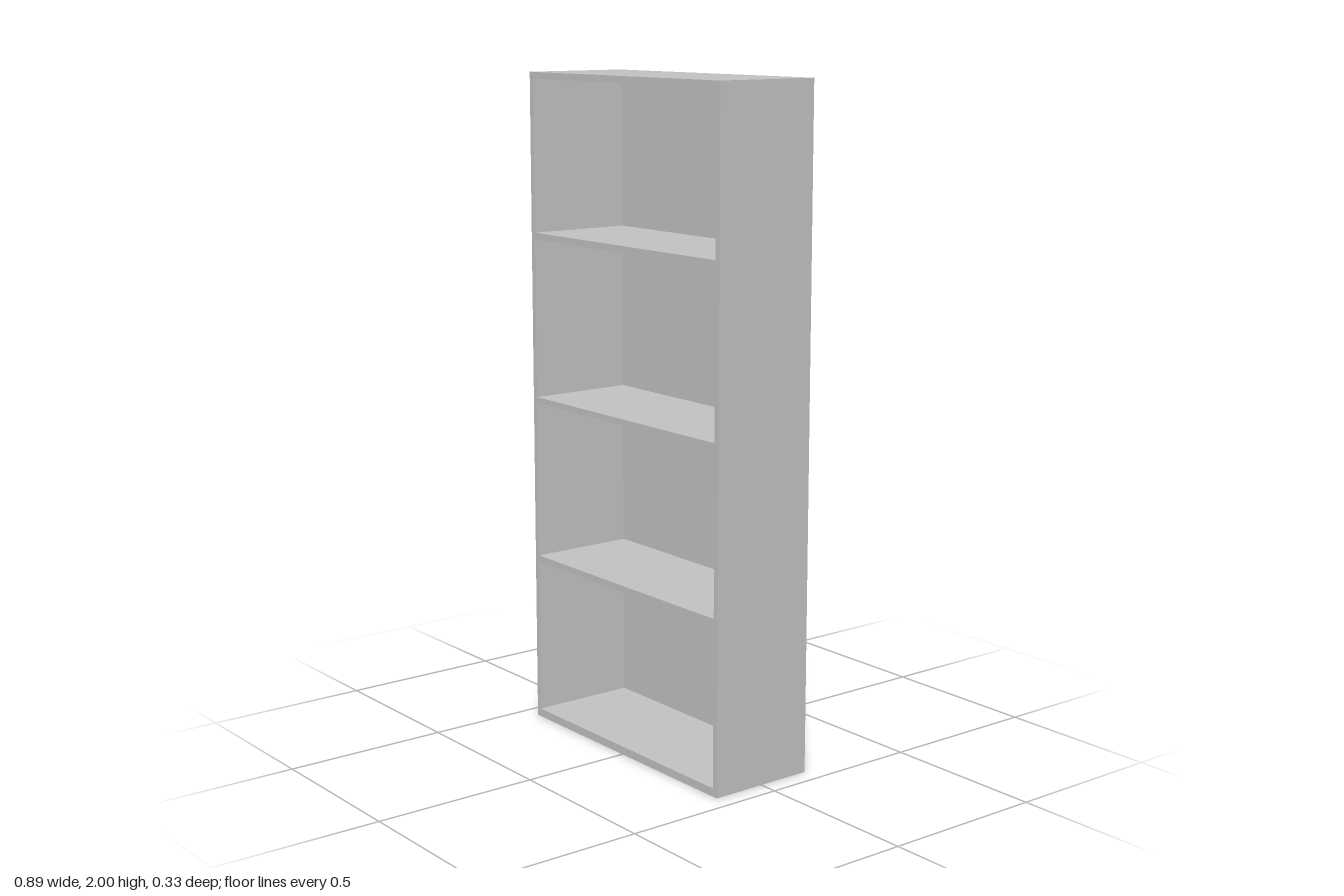
import * as THREE from 'three';

const W = 0.886, H = 2, D = 0.332; // overall size
const WALL = 0.017, BACK = 0.005;

// Rectangle outline from x0,y0 to x1,y1
function rect(Type, x0, y0, x1, y1) {
  const p = new Type();
  p.moveTo(x0, y0);
  p.lineTo(x1, y0);
  p.lineTo(x1, y1);
  p.lineTo(x0, y1);
  p.closePath();
  return p;
}

export function createModel() {
  const model = new THREE.Group();
  model.name = 'bookcase';
  const grey = new THREE.MeshStandardMaterial({ color: 0xc0c0c0 });
  grey.name = 'grey';

  // Sides, top, base and shelves as one frame with four open compartments
  const outline = rect(THREE.Shape, -W / 2, 0, W / 2, H);
  const compartments = [[0.025, 0.503], [0.523, 1.004], [1.022, 1.504], [1.524, 1.98]];
  for (const [bottom, top] of compartments) {
    outline.holes.push(rect(THREE.Path, -W / 2 + WALL, bottom, W / 2 - WALL, top));
  }
  const frameGeometry = new THREE.ExtrudeGeometry(outline, { depth: D - BACK, bevelEnabled: false });
  frameGeometry.translate(0, 0, -D / 2 + BACK);
  const frame = new THREE.Mesh(frameGeometry, grey);
  frame.name = 'frameAndShelves';

  // Thin panel closing the back
  const back = new THREE.Mesh(new THREE.BoxGeometry(W, H, BACK), grey);
  back.name = 'backPanel';
  back.position.set(0, H / 2, -D / 2 + BACK / 2);

  model.add(frame, back);
  return model;
}
